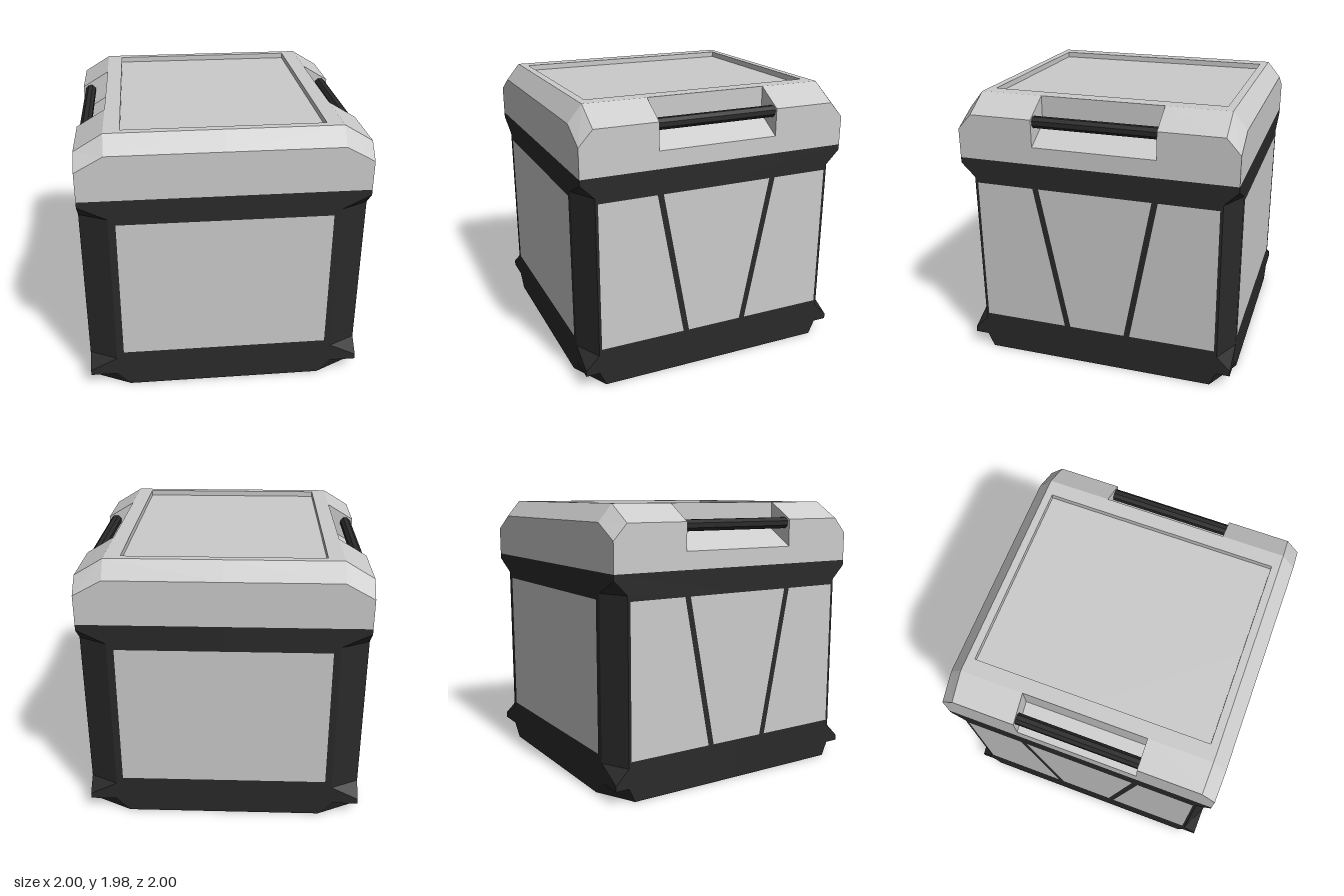
import * as THREE from 'three';

const grey = new THREE.MeshStandardMaterial({ color: 0xcccccc, side: THREE.DoubleSide });
const dark = new THREE.MeshStandardMaterial({ color: 0x2a2a2a, side: THREE.DoubleSide });

// Triangulates one flat polygon, keeping the winding of its outline
function pushPolygon(out, corners) {
  const p = corners.map(c => new THREE.Vector3(...c));
  const normal = new THREE.Vector3();
  p.forEach((a, i) => normal.add(a.clone().cross(p[(i + 1) % p.length])));
  const [ax, ay, az] = normal.toArray().map(Math.abs);
  const [u, v] = ax > ay && ax > az ? ['y', 'z'] : ay > az ? ['x', 'z'] : ['x', 'y'];
  const flat = p.map(a => new THREE.Vector2(a[u], a[v]));
  for (const [i, j, k] of THREE.ShapeUtils.triangulateShape(flat, [])) {
    const n = p[j].clone().sub(p[i]).cross(p[k].clone().sub(p[i]));
    const tri = n.dot(normal) > 0 ? [i, j, k] : [i, k, j];
    tri.forEach(t => out.push(...p[t].toArray()));
  }
}

// Mirrors the polygons of the +x +z quarter into all four quarters
function quarterMesh(name, polygons, material) {
  const out = [];
  for (const sx of [1, -1]) for (const sz of [1, -1]) {
    for (const poly of polygons) {
      const q = poly.map(([x, y, z]) => [x * sx, y, z * sz]);
      pushPolygon(out, sx * sz < 0 ? q.reverse() : q);
    }
  }
  const g = new THREE.BufferGeometry();
  g.setAttribute('position', new THREE.Float32BufferAttribute(out, 3));
  g.computeVertexNormals();
  const mesh = new THREE.Mesh(g, material);
  mesh.name = name;
  return mesh;
}

const onFront = pts => pts.map(([x, y]) => [x, y, 1]);
const onSide = pts => pts.map(([z, y]) => [1, y, z]).reverse();

// Half of a wall frame around its panel, with cut corner and foot notch
const frame = (foot, cut, panel, low, high) => [
  [0, 0], [foot, 0], [cut, 0.1], [1, 0.1], [1, 0.14], [cut, 0.24],
  [cut, 1.4], [1, 1.5], [1, 1.54], [0, 1.54],
  [0, high], [panel, high], [panel, low], [0, low],
];

function buildBody() {
  const body = new THREE.Group();
  body.name = 'body';
  body.add(quarterMesh('bodyFrame', [
    onFront(frame(0.71, 0.8, 0.75, 0.29, 1.355)),
    onSide(frame(0.855, 0.9, 0.88, 0.285, 1.36)),
    // corner bevel and its pointed ends
    [[0.8, 0.24, 1], [1, 0.24, 0.9], [1, 1.4, 0.9], [0.8, 1.4, 1]],
    [[0.8, 1.4, 1], [1, 1.4, 0.9], [1, 1.5, 1]],
    [[0.8, 0.24, 1], [1, 0.14, 1], [1, 0.24, 0.9]],
    // notch under the corner
    [[0.8, 0.1, 1], [1, 0.1, 0.9], [1, 0.1, 1]],
    [[0.8, 0.1, 1], [0.71, 0, 1], [1, 0, 0.855], [1, 0.1, 0.9]],
  ], dark));
  body.add(quarterMesh('frontAndBackPanels', [
    onFront([[0, 0.29], [0.75, 0.29], [0.75, 1.355], [0, 1.355]]),
  ], grey));
  body.add(quarterMesh('sidePanels', [
    onSide([[0, 0.285], [0.208, 0.285], [0.413, 1.36], [0, 1.36]]),
    onSide([[0.252, 0.285], [0.88, 0.285], [0.88, 1.36], [0.457, 1.36]]),
  ], grey));
  body.add(quarterMesh('sideStrips', [
    onSide([[0.208, 0.285], [0.252, 0.285], [0.457, 1.36], [0.413, 1.36]]),
  ], dark));
  return body;
}

function buildLid() {
  const N = 0.445;                      // half length of the handle notch
  const B = 1.54, E = 1.86, T = 1.98;   // bottom, bevel edge, top
  const F = 1.94, X = 0.69, Z = 0.845;  // recess floor height and half sizes
  const lid = quarterMesh('lid', [
    // front wall and bevel, corner facet
    [[0, B, 1], [1, B, 1], [1, 1.75, 1], [0.8, E, 1], [0, E, 1]],
    [[0, E, 1], [0.8, E, 1], [0.8, T, 0.9], [0, T, 0.9]],
    [[1, 1.75, 1], [1, E, 0.9], [0.8, T, 0.9], [0.8, E, 1]],
    // side wall and bevel
    [[1, B, 1], [1, B, N], [1, E, N], [1, E, 0.9], [1, 1.75, 1]],
    [[1, B, N], [1, B, 0], [1, 1.665, 0], [1, 1.665, N]],
    [[1, E, 0.9], [1, E, N], [0.8, T, N], [0.8, T, 0.9]],
    // handle notch: sloping floor, inner wall, end wall
    [[1, 1.665, N], [1, 1.665, 0], [0.8, 1.785, 0], [0.8, 1.785, N]],
    [[0.8, 1.785, N], [0.8, 1.785, 0], [0.8, T, 0], [0.8, T, N]],
    [[1, 1.665, N], [0.8, 1.785, N], [0.8, T, N], [1, E, N]],
    // top rim
    [[0, T, 0.9], [0.8, T, 0.9], [X, T, Z], [0, T, Z]],
    [[0.8, T, 0.9], [0.8, T, 0], [X, T, 0], [X, T, Z]],
    // recess walls and floor
    [[0, T, Z], [X, T, Z], [X, F, Z], [0, F, Z]],
    [[X, T, Z], [X, T, 0], [X, F, 0], [X, F, Z]],
    [[0, F, Z], [X, F, Z], [X, F, 0], [0, F, 0]],
    // underside
    [[0, B, 0], [1, B, 0], [1, B, 1], [0, B, 1]],
  ], grey);
  return lid;
}

// Eight-sided grip bar spanning a notch
function buildHandle(name, side) {
  const g = new THREE.CylinderGeometry(0.042, 0.042, 0.89, 8).toNonIndexed();
  g.rotateY(Math.PI / 8);
  g.rotateX(Math.PI / 2);
  g.computeVertexNormals();
  const bar = new THREE.Mesh(g, dark);
  bar.name = name;
  bar.position.set(side * 0.943, 1.833, 0);
  return bar;
}

export function createModel() {
  const crate = new THREE.Group();
  crate.name = 'crate';
  crate.add(buildBody(), buildLid(), buildHandle('leftHandle', 1), buildHandle('rightHandle', -1));
  // centre the height on the ground
  return crate;
}
